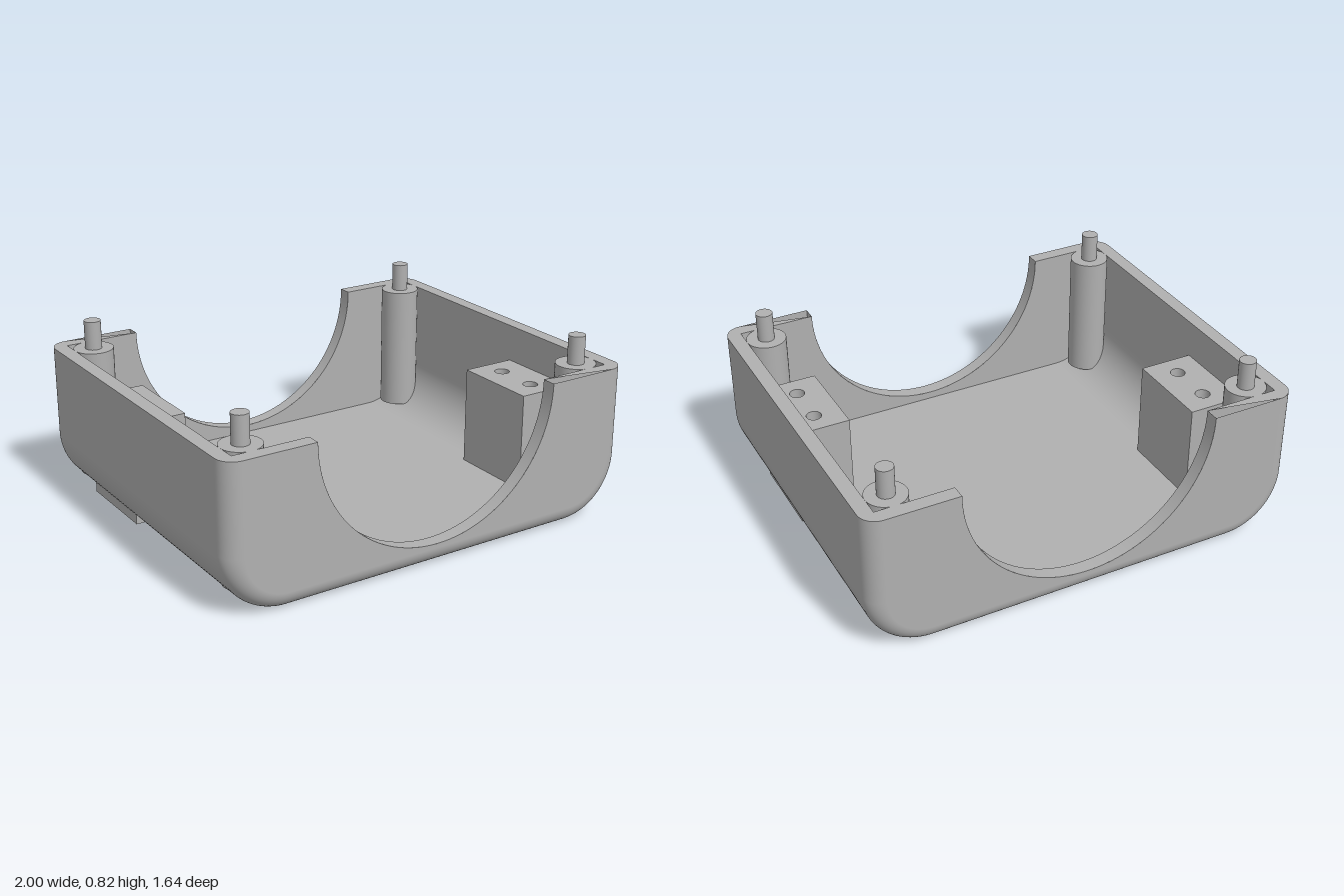
import * as THREE from 'three';

const W = 1, H = 0.69, D = 0.82;      // half width, rim height, half depth
const WALL = 0.065, FILLET = 0.08;    // wall thickness, edge rounding
const BEND = 0.28;                    // radius of the long bottom edges
const CUT = 0.59;                     // radius of the half-round openings

// U-shaped cross-section, inset from the outside, as points with normals
function profile(inset) {
  const pts = [], N = 24, r = BEND - inset, cx = W - BEND;
  const add = (x, y, a) => pts.push({ x, y, nx: Math.cos(a), ny: Math.sin(a) });
  add(W - inset, H, 0);
  for (let i = 0; i <= N; i++) {
    const a = -Math.PI / 2 * i / N;
    add(cx + r * Math.cos(a), BEND + r * Math.sin(a), a);
  }
  const left = pts.map(p => ({ x: -p.x, y: p.y, nx: -p.nx, ny: p.ny })).reverse();
  return pts.concat(left);
}

// Sweep the cross-section along z, rounding both ends by the fillet
function tub(inset, fillet, halfDepth, inward) {
  const core = profile(inset + fillet), n = core.length, stations = [];
  const steps = fillet ? 12 : 0;
  for (const s of [-1, 1]) {
    for (let i = 0; i <= steps; i++) {
      const t = steps ? (s < 0 ? 1 - i / steps : i / steps) : 0;
      stations.push({ z: s * (halfDepth - fillet), phi: s * t * Math.PI / 2 });
    }
  }
  const pos = [], nor = [], idx = [], f = inward ? -1 : 1;
  stations.forEach(({ z, phi }, j) => {
    const c = Math.cos(phi), s = Math.sin(phi);
    core.forEach((p, i) => {
      pos.push(p.x + fillet * c * p.nx, p.y + fillet * c * p.ny, z + fillet * s);
      nor.push(f * c * p.nx, f * c * p.ny, f * s);
      if (j < stations.length - 1 && i < n - 1) {
        const a = j * n + i, b = a + n;
        if (inward) idx.push(a, a + 1, b, a + 1, b + 1, b);
        else idx.push(a, b, a + 1, a + 1, b, b + 1);
      }
    });
  });
  const g = new THREE.BufferGeometry();
  g.setAttribute('position', new THREE.Float32BufferAttribute(pos, 3));
  g.setAttribute('normal', new THREE.Float32BufferAttribute(nor, 3));
  g.setIndex(idx);
  return g;
}

// Flat end wall with the half-round opening
function endWall(inset) {
  const s = new THREE.Shape(profile(inset).map(p => new THREE.Vector2(p.x, p.y)));
  s.lineTo(-CUT, H);
  s.absarc(0, H, CUT, Math.PI, Math.PI * 2, false);
  return new THREE.ShapeGeometry(s, 64);
}

export function createModel() {
  const model = new THREE.Group();
  const grey = new THREE.MeshStandardMaterial({ color: 0xb0b0b0, side: THREE.DoubleSide });
  grey.name = 'plain grey';
  const add = (name, geo, parent = model) => {
    const m = new THREE.Mesh(geo, grey);
    m.name = name;
    parent.add(m);
    return m;
  };

  // Casing skins
  add('outerShell', tub(0, FILLET, D, false));
  add('innerShell', tub(WALL, 0, D - WALL, true));

  // Each half turn repeats one end wall, one side rim and one mounting block
  for (const turn of [0, Math.PI]) {
    const half = new THREE.Group();
    half.name = turn ? 'backAndRightHalf' : 'frontAndLeftHalf';
    half.rotation.y = turn;
    model.add(half);

    // End wall faces and the edge of the opening
    add('endWallOutside', endWall(FILLET).translate(0, 0, D), half);
    add('endWallInside', endWall(WALL).rotateY(Math.PI).translate(0, 0, D - WALL), half);
    const edge = new THREE.CylinderGeometry(CUT, CUT, WALL, 64, 1, true, -Math.PI / 2, Math.PI);
    add('openingEdge', edge.rotateX(Math.PI / 2).translate(0, H, D - WALL / 2), half);

    // Flat top rim along one side
    const rim = new THREE.Shape();
    rim.moveTo(CUT, -D);
    rim.absarc(W - FILLET, -D + FILLET, FILLET, -Math.PI / 2, 0, false);
    rim.absarc(W - FILLET, D - FILLET, FILLET, 0, Math.PI / 2, false);
    rim.lineTo(CUT, D);
    rim.lineTo(CUT, D - WALL);
    rim.lineTo(W - WALL, D - WALL);
    rim.lineTo(W - WALL, -D + WALL);
    rim.lineTo(CUT, -D + WALL);
    add('topRim', new THREE.ShapeGeometry(rim, 12).rotateX(-Math.PI / 2).translate(0, H, 0), half);

    // Mounting block with two blind holes
    const x0 = 0.68, x1 = 0.935, z0 = 0.112, z1 = 0.525, low = 0.055, mid = 0.2, top = 0.52;
    const block = new THREE.Shape();
    block.moveTo(x0, -z1);
    block.lineTo(x1, -z1);
    block.lineTo(x1, -z0);
    block.lineTo(x0, -z0);
    block.closePath();
    for (const z of [0.217, 0.42]) {
      block.holes.push(new THREE.Path().absarc(0.805, -z, 0.034, 0, Math.PI * 2, true));
    }
    const upper = new THREE.ExtrudeGeometry(block, { depth: top - mid, bevelEnabled: false, curveSegments: 24 });
    add('mountingBlock', upper.rotateX(-Math.PI / 2).translate(0, mid, 0), half);
    const base = new THREE.BoxGeometry(x1 - x0, mid - low, z1 - z0);
    add('mountingBlockBase', base.translate((x0 + x1) / 2, (low + mid) / 2, (z0 + z1) / 2), half);
  }

  // Corner posts with locating pins
  for (const x of [-0.845, 0.845]) {
    for (const z of [-0.667, 0.667]) {
      const post = new THREE.CylinderGeometry(0.09, 0.09, H - 0.095, 40);
      add('cornerPost', post.translate(x, (H + 0.095) / 2, z));
      const pin = new THREE.CylinderGeometry(0.038, 0.038, 0.82 - H, 32);
      add('locatingPin', pin.translate(x, (H + 0.82) / 2, z));
    }
  }
  return model;
}
